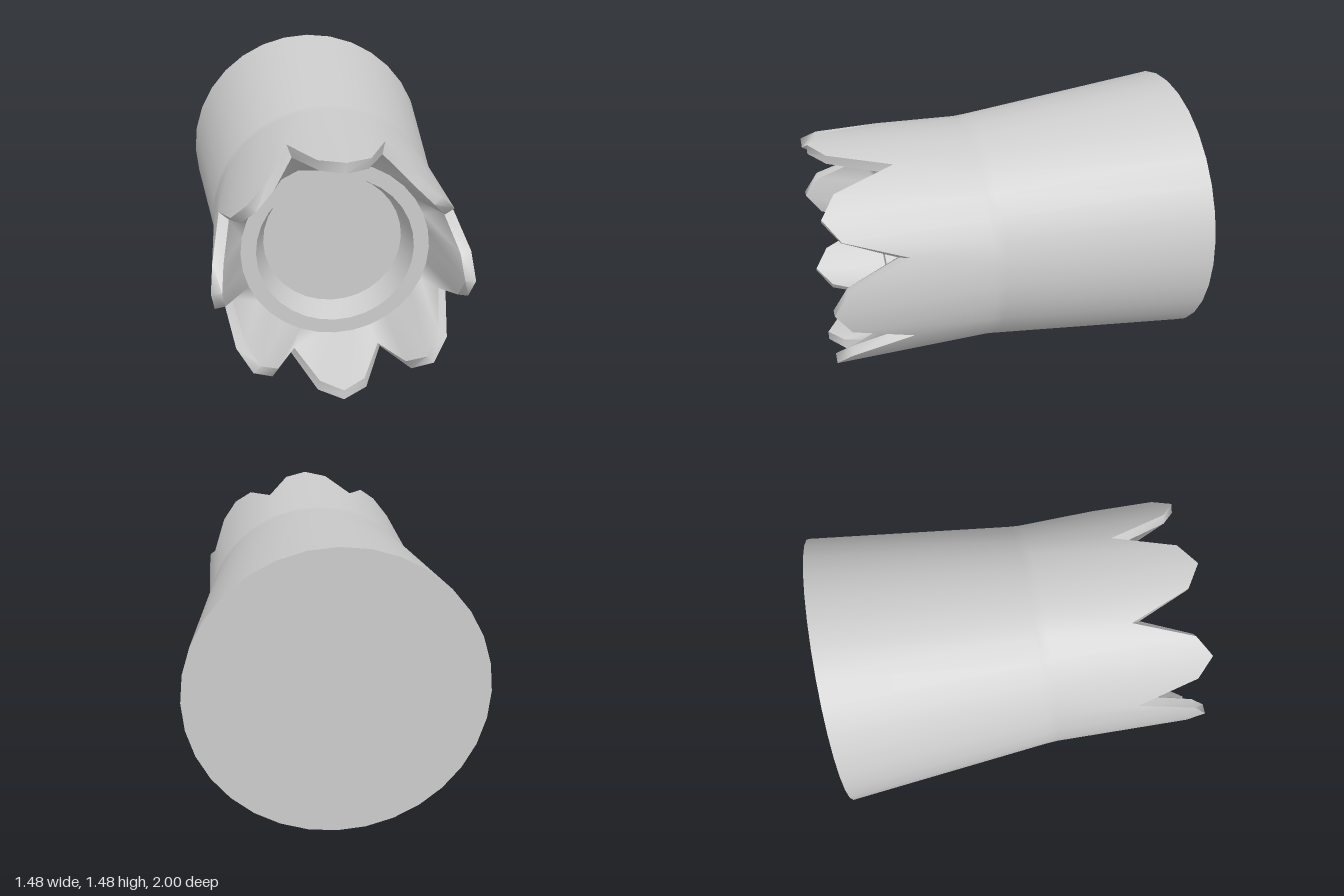
import * as THREE from 'three';
import { toCreasedNormals } from 'three/addons/utils/BufferGeometryUtils.js';

const SIDES = 32;
const CENTRE_Y = 0.742;

// Smooth skin through rings [radius, z]; z may be a list that repeats around the ring
function loft(rings) {
  const points = [], index = [];
  rings.forEach(([r, z], j) => {
    for (let k = 0; k < SIDES; k++) {
      const a = (k / SIDES) * Math.PI * 2;
      points.push(r * Math.cos(a), r * Math.sin(a), Array.isArray(z) ? z[k % z.length] : z);
      if (j === 0) continue;
      const n = (k + 1) % SIDES, A = (j - 1) * SIDES, B = j * SIDES;
      index.push(A + k, A + n, B + n, A + k, B + n, B + k);
    }
  });
  const g = new THREE.BufferGeometry();
  g.setAttribute('position', new THREE.Float32BufferAttribute(points, 3));
  g.setIndex(index);
  g.computeVertexNormals();
  return g;
}

export function createModel() {
  const model = new THREE.Group();
  model.name = 'crownedNozzle';
  const metal = new THREE.MeshStandardMaterial({ color: 0xcccccc });
  metal.name = 'light grey';

  const add = (name, geometry, z = 0) => {
    const mesh = new THREE.Mesh(geometry, metal);
    mesh.name = name;
    mesh.position.set(0, CENTRE_Y, z);
    model.add(mesh);
    return mesh;
  };

  // Eight teeth: tip, shoulder, valley, shoulder
  const outerEdge = [1, 0.92, 0.6, 0.92];
  const innerEdge = [1, 0.92, 0.65, 0.92];

  // Flared outer wall ending in the teeth
  add('outerWall', loft([[0.742, -1], [0.626, 0.11], [0.622, 0.17], [0.635, outerEdge]]));

  // Cut edge of the teeth, sharp in the valleys
  add('toothRim', toCreasedNormals(loft([[0.635, outerEdge], [0.582, innerEdge]]), 1.2));

  // Inside of the teeth, funnelling to the ledge
  add('innerWall', loft([[0.582, innerEdge], [0.487, 0.6]]));
  add('ledge', loft([[0.487, 0.6], [0.408, 0.6]]));
  add('recessWall', loft([[0.408, 0.6], [0.365, 0.46]]));
  add('recessFloor', new THREE.CircleGeometry(0.365, SIDES), 0.46);

  // Closed back
  add('backCap', new THREE.CircleGeometry(0.742, SIDES), -1).rotation.y = Math.PI;

  return model;
}
